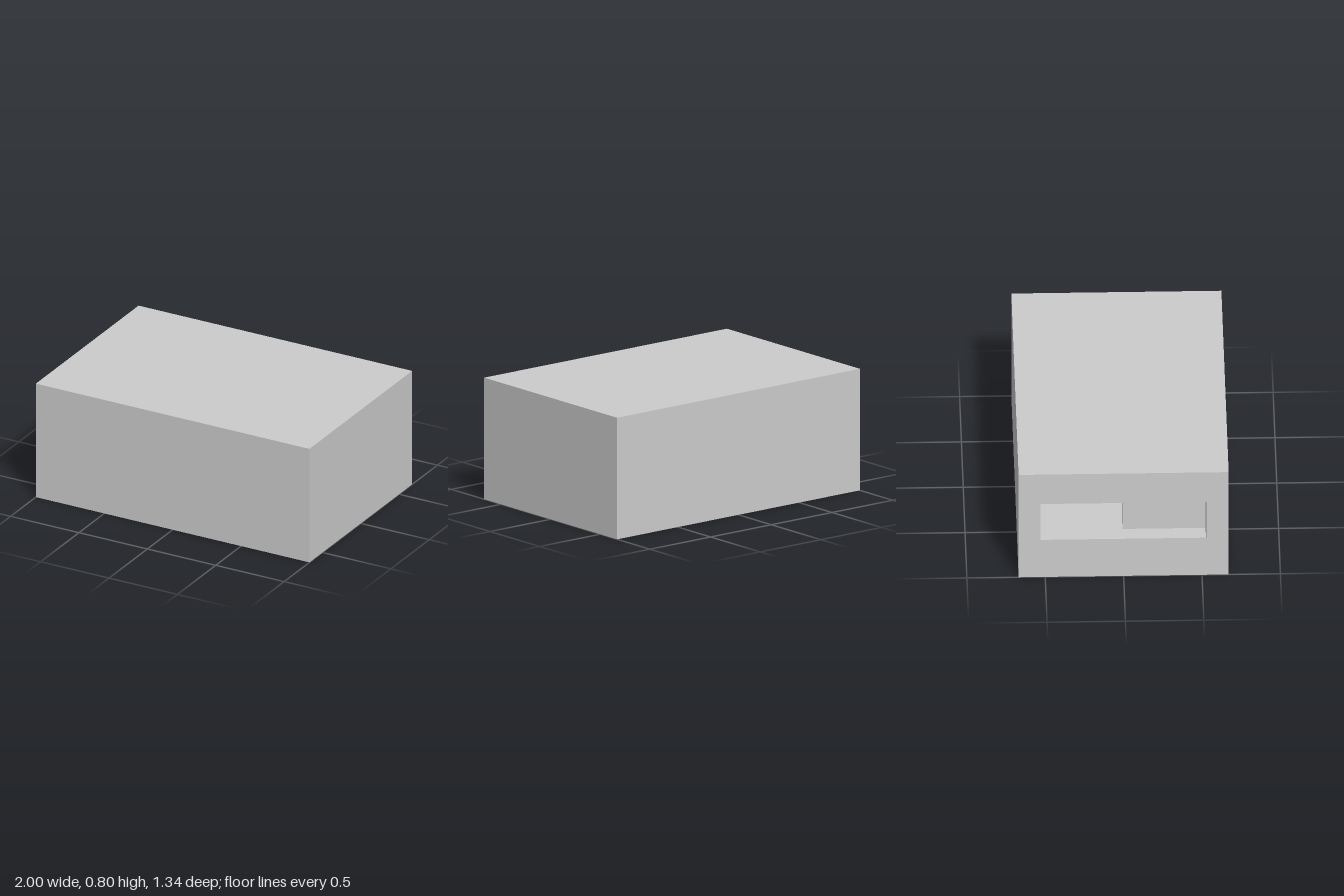
import * as THREE from 'three';

const W = 2, H = 0.8, D = 1.34;        // outer size
const T = 0.14;                        // wall thickness
const inner = { x0: -W / 2, x1: W / 2 - T, y0: T, y1: H - T, z: D / 2 - T };
const slot = { y0: 0.29, y1: 0.57, z: inner.z };

const grey = (side = THREE.FrontSide) => new THREE.MeshStandardMaterial({ color: 0xcccccc, side });

function named(name, geometry, material) {
  const mesh = new THREE.Mesh(geometry, material);
  mesh.name = name;
  return mesh;
}

// Box between two corners
function box(x0, x1, y0, y1, z0, z1) {
  return new THREE.BoxGeometry(x1 - x0, y1 - y0, z1 - z0)
    .translate((x0 + x1) / 2, (y0 + y1) / 2, (z0 + z1) / 2);
}

// Drops the -x side (second face of the box), leaving five sides
function openSide(geometry) {
  const index = Array.from(geometry.index.array);
  index.splice(6, 6);
  geometry.setIndex(index);
  geometry.clearGroups();
  return geometry;
}

function rectangle(Path, a, b, y0, y1) {
  const p = new Path();
  p.moveTo(a, y0);
  p.lineTo(b, y0);
  p.lineTo(b, y1);
  p.lineTo(a, y1);
  p.closePath();
  return p;
}

export function createModel() {
  const group = new THREE.Group();
  group.name = 'slottedBox';

  // Outer shell, open at the slotted end
  group.add(named('outerShell', openSide(box(-W / 2, W / 2, 0, H, -D / 2, D / 2)), grey()));

  // End panel with the wide slot
  const panel = rectangle(THREE.Shape, -D / 2, D / 2, 0, H);
  panel.holes.push(rectangle(THREE.Path, -slot.z, slot.z, slot.y0, slot.y1));
  const panelGeometry = new THREE.ShapeGeometry(panel).rotateY(-Math.PI / 2).translate(-W / 2, 0, 0);
  group.add(named('slottedEndPanel', panelGeometry, grey(THREE.DoubleSide)));

  // Walls, floor and ceiling of the chamber, seen from inside
  const chamber = openSide(box(inner.x0, inner.x1, inner.y0, inner.y1, -inner.z, inner.z));
  group.add(named('innerChamber', chamber, grey(THREE.BackSide)));

  // Partition behind half of the slot
  group.add(named('partition', box(-0.68, -0.68 + T, inner.y0, inner.y1, 0, inner.z), grey()));

  return group;
}
